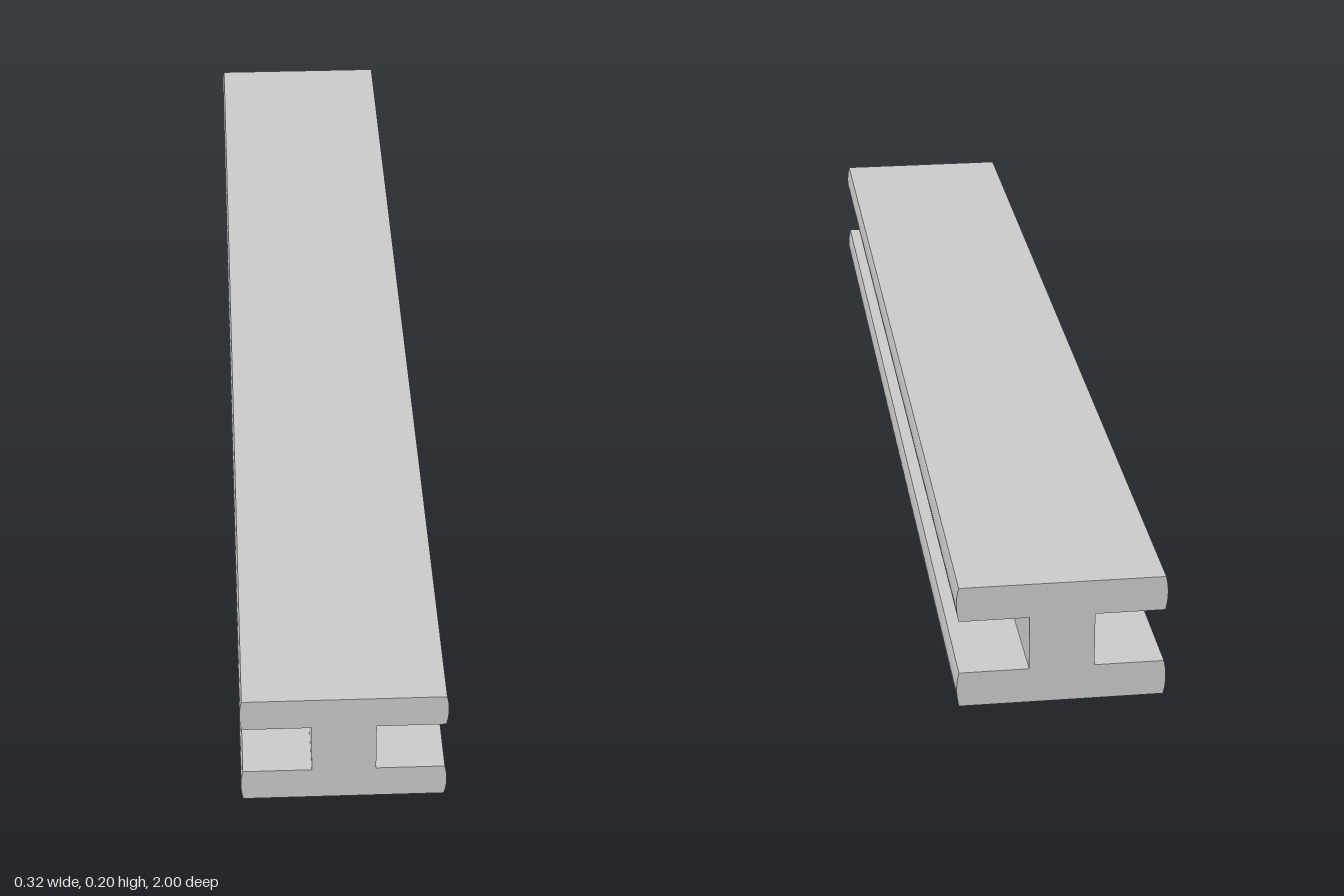
import * as THREE from 'three';
import { toCreasedNormals } from 'three/addons/utils/BufferGeometryUtils.js';

const LENGTH = 2;
const HEIGHT = 0.2;
const WEB = 0.05;      // half width of the web
const EDGE = 0.157;    // half width at the flange corners
const BULGE = 0.164;   // control point of the rounded flange edge
const LOW = 0.057;     // top of the lower flange
const HIGH = 0.144;    // underside of the upper flange

// I-shaped cross-section with slightly rounded flange edges
function beamProfile() {
  const s = new THREE.Shape();
  const edge = (side, from, to) =>
    s.quadraticCurveTo(side * BULGE, (from + to) / 2, side * EDGE, to);

  s.moveTo(-EDGE, 0);
  s.lineTo(EDGE, 0);
  edge(1, 0, LOW);
  s.lineTo(WEB, LOW);
  s.lineTo(WEB, HIGH);
  s.lineTo(EDGE, HIGH);
  edge(1, HIGH, HEIGHT);
  s.lineTo(-EDGE, HEIGHT);
  edge(-1, HEIGHT, HIGH);
  s.lineTo(-WEB, HIGH);
  s.lineTo(-WEB, LOW);
  s.lineTo(-EDGE, LOW);
  edge(-1, LOW, 0);
  return s;
}

export function createModel() {
  const group = new THREE.Group();
  group.name = 'iBeam';

  // Beam: the profile swept along z
  const extruded = new THREE.ExtrudeGeometry(beamProfile(), {
    depth: LENGTH,
    bevelEnabled: false,
    curveSegments: 10,
  });
  extruded.translate(0, 0, -LENGTH / 2);

  const beam = new THREE.Mesh(
    toCreasedNormals(extruded, Math.PI / 6),
    new THREE.MeshStandardMaterial({ color: 0xcccccc })
  );
  beam.name = 'beam';
  group.add(beam);
  return group;
}
